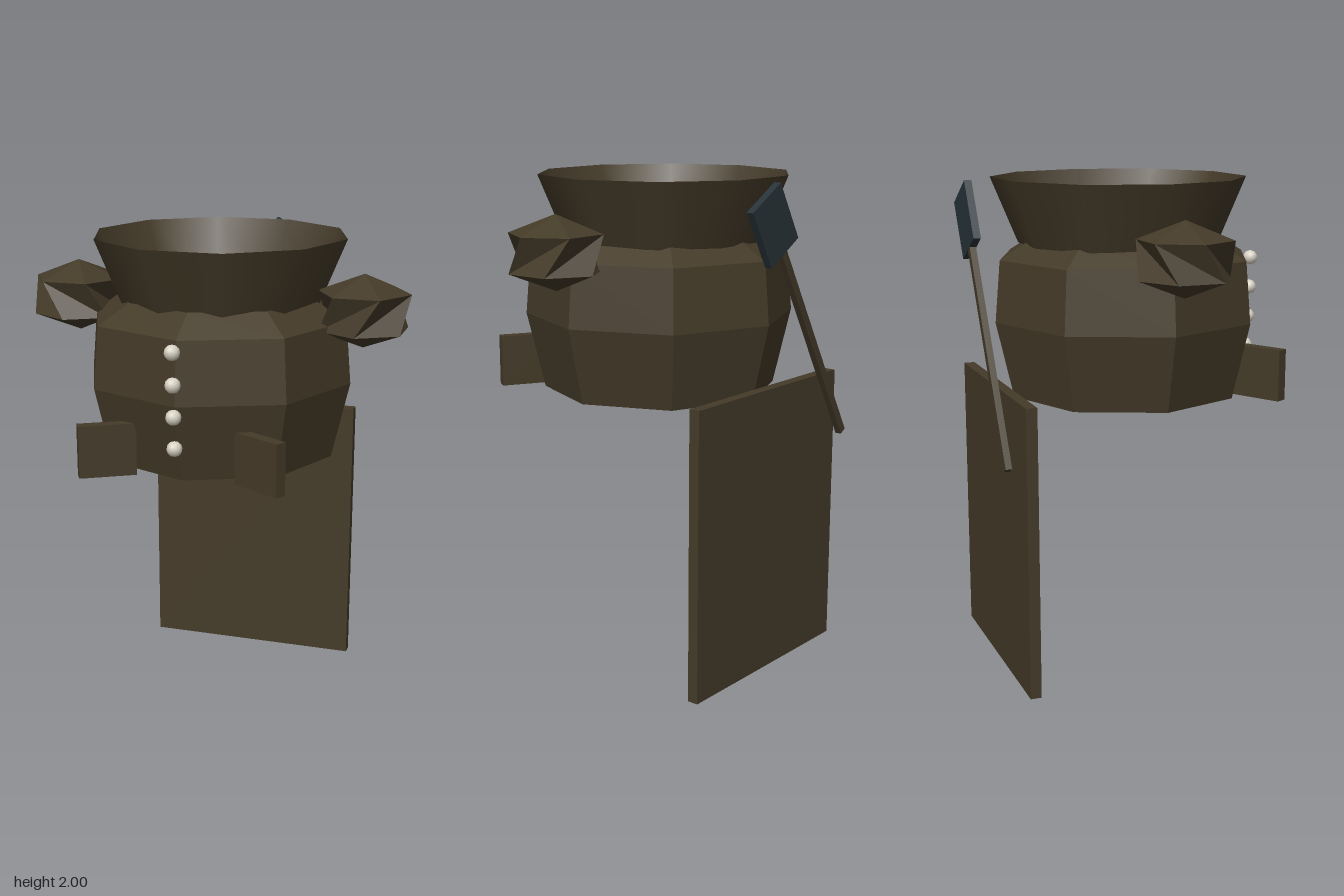
import * as THREE from 'three';

const cloth = new THREE.MeshStandardMaterial({ color: 0x443a28, side: THREE.DoubleSide });
cloth.name = 'brown cloth';
const steel = new THREE.MeshStandardMaterial({ color: 0x28343a });
steel.name = 'dark steel';
const ivory = new THREE.MeshStandardMaterial({ color: 0xd8d2c4 });
ivory.name = 'ivory';

// Give every face its own normal
function faceted(geometry) {
  const g = geometry.index ? geometry.toNonIndexed() : geometry;
  g.computeVertexNormals();
  return g;
}

// Low puffed shoulder: two six-sided rings, the lower one twisted against the upper
function puffGeometry(radius, height) {
  const n = 6, step = (Math.PI * 2) / n, pos = [], idx = [];
  for (let i = 0; i < n; i++) {
    const a = i * step, b = a - step / 2;
    pos.push(radius * Math.cos(a), height / 2, radius * Math.sin(a));
    pos.push(radius * Math.cos(b), -height / 2, radius * Math.sin(b));
  }
  pos.push(0, height, 0, 0, -height, 0);
  for (let i = 0; i < n; i++) {
    const u = 2 * i, l = u + 1, u2 = 2 * ((i + 1) % n), l2 = u2 + 1;
    idx.push(2 * n, u2, u, 2 * n + 1, l, l2);
    idx.push(u2, l, u, u2, l2, l);
  }
  const g = new THREE.BufferGeometry();
  g.setAttribute('position', new THREE.Float32BufferAttribute(pos, 3));
  g.setIndex(idx);
  return faceted(g);
}

export function createModel() {
  const model = new THREE.Group();
  const add = (name, geometry, material, x, y, z, parent = model) => {
    const mesh = new THREE.Mesh(geometry, material);
    mesh.name = name;
    mesh.position.set(x, y, z);
    parent.add(mesh);
    return mesh;
  };

  // Eight-sided open coat body with sloping shoulders
  const profile = [[0.48, 1.12], [0.552, 1.43], [0.53, 1.68], [0.395, 1.76]]
    .map(([r, y]) => new THREE.Vector2(r, y));
  add('coatBody', faceted(new THREE.LatheGeometry(profile, 8)), cloth, 0, 0, 0.025);

  // Flared open collar
  const collar = new THREE.CylinderGeometry(0.52, 0.41, 0.265, 10, 1, true);
  collar.rotateY(Math.PI / 10);
  add('collar', collar, cloth, 0, 1.8675, 0);

  // Shoulders and pockets, mirrored
  const puff = puffGeometry(0.186, 0.146);
  const pocketShape = new THREE.BoxGeometry(0.227, 0.21, 0.048);
  for (const s of [-1, 1]) {
    const side = s > 0 ? 'left' : 'right';
    add(side + 'Shoulder', puff, cloth, s * 0.6, 1.73, 0.038).scale.x = -s;
    add(side + 'Pocket', pocketShape, cloth, s * 0.31, 1.215, 0.4975).rotation.y = -s * Math.PI / 6;
  }

  // Button row down the front
  const buttonShape = new THREE.IcosahedronGeometry(0.031, 1);
  [[1.645, 0.6], [1.52, 0.597], [1.395, 0.592], [1.27, 0.583]]
    .forEach(([y, z], i) => add('button' + (i + 1), buttonShape, ivory, 0, y, z));

  // Flat cape panel hanging behind
  add('capePanel', new THREE.BoxGeometry(0.925, 1.18, 0.045), cloth, 0, 0.59, -0.522);

  // Slanted tool carried on the back
  const tool = new THREE.Group();
  tool.name = 'backTool';
  tool.position.set(0.1, 1.835, -0.607);
  tool.rotation.z = -Math.PI / 6;
  model.add(tool);
  add('toolHandle', new THREE.BoxGeometry(0.034, 0.92, 0.026), cloth, 0, -0.58, 0, tool);
  add('toolHead', new THREE.BoxGeometry(0.2, 0.25, 0.03), steel, 0, 0, 0, tool);

  return model;
}
